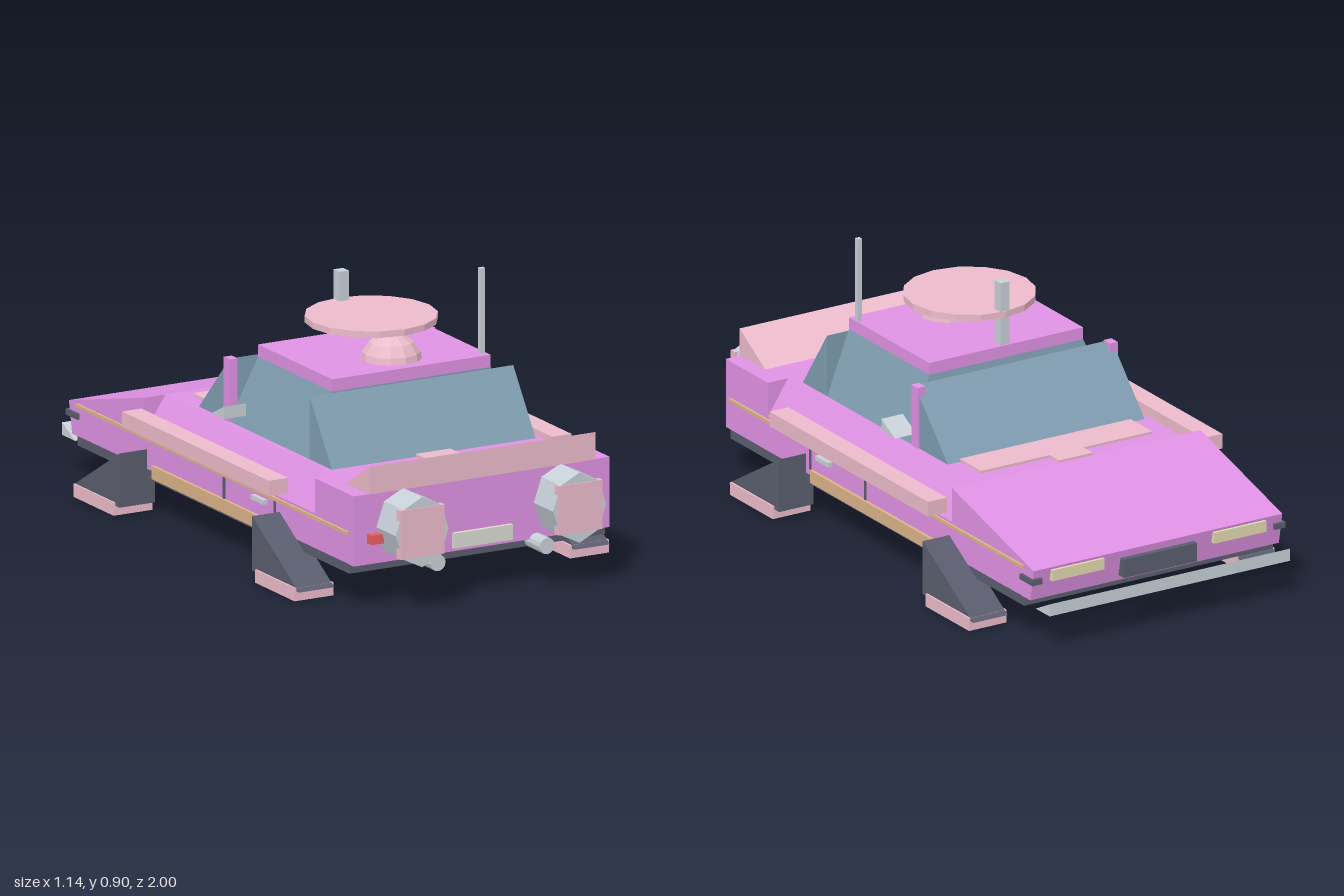
import * as THREE from 'three';

const mat = (color) => new THREE.MeshStandardMaterial({ color, flatShading: true });
const violet = mat(0xe092e4), pink = mat(0xecbccb), glass = mat(0x7f9db0), dark = mat(0x5a5d6e);
const metal = mat(0xc8d1d8), tan = mat(0xdcb488), red = mat(0xe86060), plate = mat(0xdcdcd4), lamp = mat(0xe2dab0);

export function createModel() {
  const model = new THREE.Group();

  const add = (name, geometry, material) => {
    const mesh = new THREE.Mesh(geometry, material);
    mesh.name = name;
    model.add(mesh);
    return mesh;
  };
  // Box given by its limits on each axis
  const box = (name, m, x0, x1, y0, y1, z0, z1) => {
    const g = new THREE.BoxGeometry(Math.abs(x1 - x0), y1 - y0, z1 - z0);
    g.translate((x0 + x1) / 2, (y0 + y1) / 2, (z0 + z1) / 2);
    return add(name, g, m);
  };
  // Side profile of [z, y] points, extruded across x
  const prismX = (name, m, points, x0, x1) => {
    const w = Math.abs(x1 - x0);
    const shape = new THREE.Shape(points.map(([z, y]) => new THREE.Vector2(z, y)));
    const g = new THREE.ExtrudeGeometry(shape, { depth: w, bevelEnabled: false });
    g.translate(0, 0, -w / 2).rotateY(-Math.PI / 2).translate((x0 + x1) / 2, 0, 0);
    return add(name, g, m);
  };

  // Hull: lower body with sloping hood, rear block and chamfered middle
  prismX('lowerBody', violet, [[0.875, 0.145], [0.875, 0.26], [-0.45, 0.26], [-0.45, 0.375], [-0.93, 0.25], [-0.91, 0.145]], -0.465, 0.465);
  box('rearDeck', violet, -0.465, 0.465, 0.25, 0.375, 0.628, 0.875);
  const waist = new THREE.Shape([[-0.465, 0.26], [0.465, 0.26], [0.39, 0.375], [-0.39, 0.375]].map((p) => new THREE.Vector2(...p)));
  add('chamferedBody', new THREE.ExtrudeGeometry(waist, { depth: 1.078, bevelEnabled: false }).translate(0, 0, -0.45), violet);
  box('underside', dark, -0.465, 0.465, 0.115, 0.146, -0.875, 0.847);

  // Cabin: core leaning inward, with full-width window wedges at both ends
  const core = new THREE.BoxGeometry(0.74, 0.21, 0.51).translate(0, 0.48, 0.175);
  const p = core.attributes.position;
  for (let i = 0; i < p.count; i++) {
    if (p.getY(i) < 0.48) continue;
    p.setX(i, Math.sign(p.getX(i)) * 0.288);
    if (p.getZ(i) < 0) p.setZ(i, -0.04);
  }
  core.computeVertexNormals();
  add('cabinGlass', core, glass);
  prismX('rearWindow', glass, [[0.572, 0.375], [0.43, 0.58], [0.43, 0.375]], -0.37, 0.37);
  prismX('frontWindow', glass, [[-0.275, 0.375], [-0.08, 0.375], [-0.08, 0.58]], -0.368, 0.368);
  box('roof', violet, -0.288, 0.288, 0.58, 0.625, -0.04, 0.43);

  // Roof equipment
  add('roofDome', new THREE.SphereGeometry(0.1, 12, 8).translate(0, 0.608, 0.302), pink);
  add('roofDish', new THREE.CylinderGeometry(0.212, 0.212, 0.021, 16).translate(0, 0.728, 0.175), pink);
  box('roofPost', metal, -0.017, 0.017, 0.62, 0.835, -0.033, 0.003);
  box('antenna', metal, 0.269, 0.285, 0.62, 0.903, 0.384, 0.4);

  // Deck panels and rear spoiler
  box('cowlPanel', pink, -0.32, 0.32, 0.37, 0.383, -0.395, -0.268);
  box('frontLatch', pink, -0.063, 0.063, 0.365, 0.383, -0.45, -0.39);
  box('rearLatch', pink, -0.063, 0.063, 0.37, 0.383, 0.565, 0.625);
  prismX('spoiler', pink, [[0.88, 0.375], [0.88, 0.465], [0.73, 0.375]], -0.41, 0.41);

  // Nose and tail fittings
  box('grille', dark, -0.137, 0.137, 0.163, 0.225, -0.945, -0.9);
  prismX('noseBlade', metal, [[-1, 0.117], [-1, 0.158], [-0.918, 0.117]], -0.45, 0.45);
  box('tailPlate', plate, -0.107, 0.107, 0.157, 0.207, 0.87, 0.888);

  for (const s of [-1, 1]) {
    box('pillar', violet, s * 0.345, s * 0.374, 0.37, 0.58, -0.108, -0.07);
    prismX('mirror', metal, [[0.005, 0.412], [0.005, 0.453], [-0.075, 0.412]], s * 0.358, s * 0.438);
    box('sideRail', pink, s * 0.48, s * 0.55, 0.293, 0.343, -0.445, 0.485);
    box('sideTrim', tan, s * 0.46, s * 0.473, 0.242, 0.253, -0.875, 0.845);
    box('sideSill', tan, s * 0.455, s * 0.475, 0.125, 0.168, -0.39, 0.365);
    box('doorHandle', metal, s * 0.46, s * 0.481, 0.216, 0.231, 0.25, 0.328);
    for (const z of [0.055, 0.377]) box('doorSeam', dark, s * 0.46, s * 0.468, 0.165, 0.24, z - 0.006, z + 0.006);
    box('headlight', lamp, s * 0.205, s * 0.4, 0.205, 0.242, -0.938, -0.9);
    box('bumperCorner', dark, s * 0.435, s * 0.474, 0.203, 0.222, -0.936, -0.862);
    box('tailLight', red, s * 0.37, s * 0.416, 0.215, 0.246, 0.865, 0.902);

    // Landing legs with foot pads
    prismX('rearLeg', dark, [[0.405, 0.21], [0.405, 0.032], [0.703, 0.032]], s * 0.437, s * 0.565);
    prismX('frontLeg', dark, [[-0.435, 0.21], [-0.435, 0.032], [-0.735, 0.032]], s * 0.437, s * 0.565);
    box('rearFoot', pink, s * 0.43, s * 0.571, 0, 0.043, 0.433, 0.685);
    box('frontFoot', pink, s * 0.43, s * 0.571, 0, 0.043, -0.717, -0.462);

    // Thruster with end plate, and small exhaust
    const thruster = new THREE.CylinderGeometry(0.115, 0.115, 0.127, 8).rotateX(Math.PI / 2);
    thruster.scale(0.84, 1, 1).translate(s * 0.286, 0.263, 0.9335);
    add('thruster', thruster, metal);
    box('thrusterPlate', pink, s * 0.207, s * 0.367, 0.183, 0.344, 0.975, 1);
    const exhaust = new THREE.CylinderGeometry(0.027, 0.027, 0.1, 12).rotateX(Math.PI / 2);
    add('exhaust', exhaust.translate(s * 0.198, 0.137, 0.895), metal);
  }
  return model;
}
